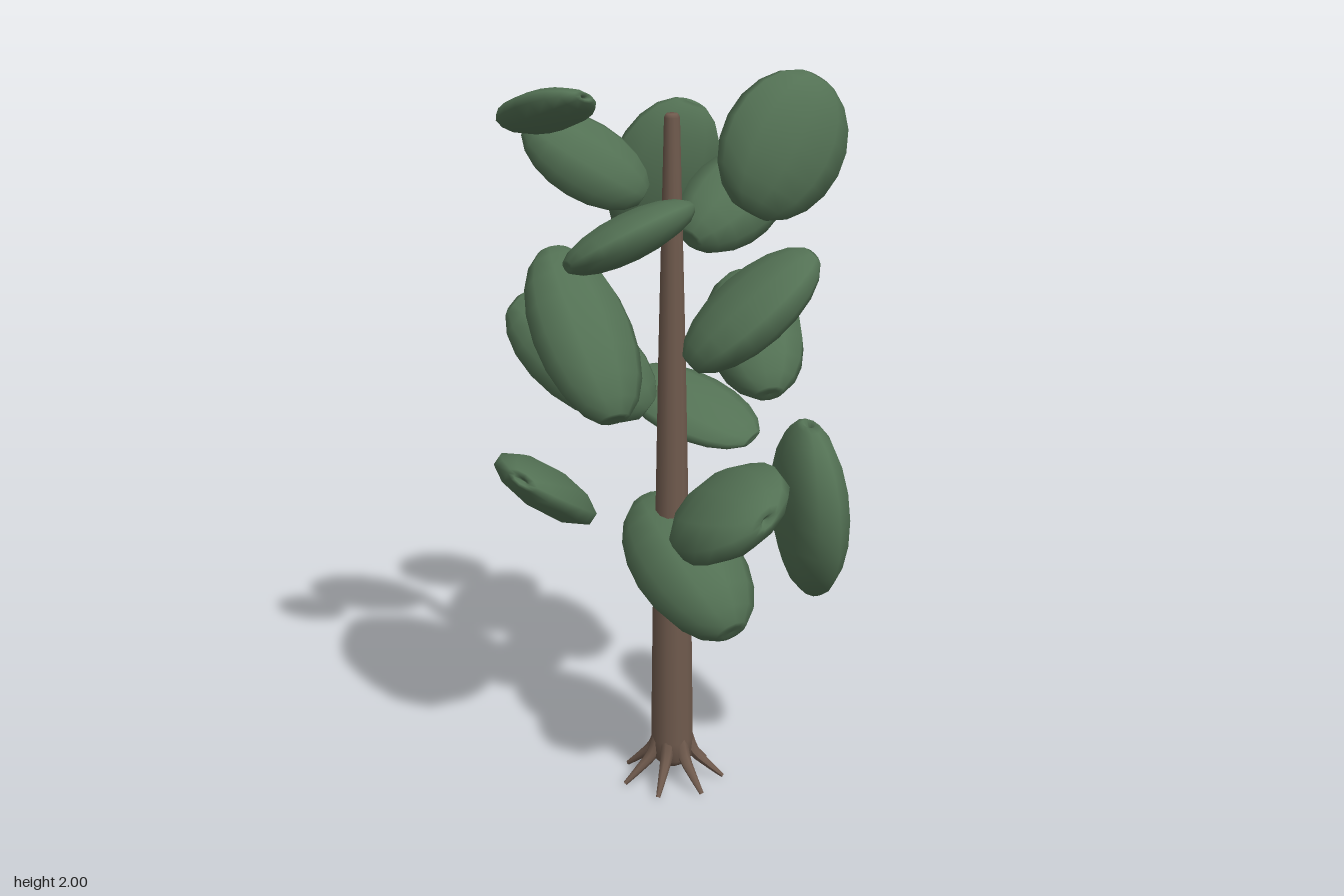
import * as THREE from 'three';

// Foliage clumps: centre, half-extents, and slant (xy, zy, xz correlation of the ellipsoid)
const CLUMPS = [
  [[-0.26, 1.915, 0.235], [0.14, 0.073, 0.108], [0.5, 0.75, 0.45]],
  [[0.295, 1.82, 0.037], [0.147, 0.182, 0.122], [0.05, -0.25, -0.6]],
  [[-0.235, 1.745, -0.02], [0.156, 0.125, 0.112], [-0.55, 0, -0.3]],
  [[-0.11, 1.655, -0.33], [0.152, 0.205, 0.085], [0.3, 0.15, -0.35]],
  [[-0.03, 1.63, 0.305], [0.151, 0.09, 0.155], [0.7, -0.1, -0.2]],
  [[0.125, 1.63, -0.168], [0.134, 0.122, 0.168], [0.15, -0.5, -0.4]],
  [[-0.16, 1.365, 0.272], [0.158, 0.195, 0.166], [-0.6, -0.55, 0.3]],
  [[0.245, 1.425, 0.158], [0.165, 0.146, 0.15], [0.65, -0.45, -0.15]],
  [[-0.245, 1.225, 0.01], [0.195, 0.165, 0.14], [-0.6, -0.1, -0.15]],
  [[0.175, 1.255, -0.208], [0.144, 0.143, 0.17], [-0.3, -0.65, 0.3]],
  [[-0.03, 0.995, -0.33], [0.2, 0.085, 0.137], [-0.65, -0.6, 0.2]],
  [[0.21, 0.905, 0.235], [0.16, 0.12, 0.175], [0.55, -0.15, 0.25]],
  [[0.355, 0.805, -0.11], [0.124, 0.243, 0.18], [-0.05, 0.03, 0.55]],
  [[-0.345, 0.845, 0.03], [0.134, 0.135, 0.23], [-0.35, 0.7, 0.15]],
  [[0.05, 0.66, 0.022], [0.19, 0.168, 0.178], [-0.45, -0.4, 0.3]],
];

// Longest axis of a symmetric matrix, kept perpendicular to an optional vector
function mainAxis(m, perp) {
  const v = new THREE.Vector3(0.53, 0.71, 0.46);
  for (let i = 0; i < 80; i++) {
    if (perp) v.addScaledVector(perp, -v.dot(perp));
    v.applyMatrix3(m).normalize();
  }
  return v;
}

const spread = (m, v) => Math.sqrt(Math.max(v.dot(v.clone().applyMatrix3(m)), 0.0009));

// Low-sided egg with a small dimple at its upper pole
function clumpGeometry() {
  const profile = [new THREE.Vector2(0, -0.97), new THREE.Vector2(0.2, -0.98)];
  for (let i = 1; i <= 9; i++) {
    const a = -Math.PI / 2 + (i / 10) * Math.PI;
    profile.push(new THREE.Vector2(1.02 * Math.cos(a), 1.02 * Math.sin(a)));
  }
  profile.push(new THREE.Vector2(0.17, 1.0), new THREE.Vector2(0.08, 0.93), new THREE.Vector2(0, 0.88));
  return new THREE.LatheGeometry(profile, 10);
}

// Curved root: a tube narrowed toward its tip
function rootGeometry() {
  const curve = new THREE.CatmullRomCurve3([
    new THREE.Vector3(0.03, 0.15, 0), new THREE.Vector3(0.06, 0.085, 0),
    new THREE.Vector3(0.1, 0.045, 0), new THREE.Vector3(0.142, 0.008, 0),
  ]);
  const steps = 8, sides = 8;
  const geo = new THREE.TubeGeometry(curve, steps, 0.024, sides);
  const pos = geo.attributes.position, p = new THREE.Vector3();
  for (let i = 0; i < pos.count; i++) {
    const t = Math.floor(i / (sides + 1)) / steps;
    const c = curve.getPointAt(t);
    p.fromBufferAttribute(pos, i).sub(c).multiplyScalar(1 - 0.75 * t).add(c);
    pos.setXYZ(i, p.x, Math.max(p.y, 0), p.z);
  }
  geo.computeVertexNormals();
  return geo;
}

export function createModel() {
  const tree = new THREE.Group();
  tree.name = 'tree';
  const bark = new THREE.MeshStandardMaterial({ name: 'bark brown', color: 0x6f5a4d });
  const leaf = new THREE.MeshStandardMaterial({ name: 'leaf green', color: 0x537154 });

  // Tapered trunk with a rounded foot
  const profile = [[0, 0.045], [0.035, 0.052], [0.058, 0.075], [0.06, 0.13], [0.055, 0.5], [0.045, 0.85],
    [0.037, 1.25], [0.028, 1.6], [0.021, 1.87], [0.015, 1.88], [0, 1.88]];
  const trunk = new THREE.Mesh(
    new THREE.LatheGeometry(profile.map(([r, y]) => new THREE.Vector2(r, y)), 12), bark);
  trunk.name = 'trunk';
  tree.add(trunk);

  // Roots around the foot
  const rootGeo = rootGeometry();
  for (let i = 0; i < 7; i++) {
    const root = new THREE.Mesh(rootGeo, bark);
    root.name = `root${i + 1}`;
    root.rotation.y = 0.2 + (i / 7) * Math.PI * 2;
    tree.add(root);
  }

  // Flattened foliage clumps
  const clumpGeo = clumpGeometry();
  CLUMPS.forEach(([centre, [hx, hy, hz], [xy, zy, xz]], i) => {
    const a = xy * hx * hy, b = xz * hx * hz, c = zy * hz * hy;
    const m = new THREE.Matrix3().set(hx * hx, a, b, a, hy * hy, c, b, c, hz * hz);
    const long = mainAxis(m);
    if (long.y < 0) long.negate();
    const wide = mainAxis(m, long);
    wide.addScaledVector(long, -wide.dot(long)).normalize();
    const thin = wide.clone().cross(long);
    const clump = new THREE.Mesh(clumpGeo, leaf);
    clump.name = `foliageClump${i + 1}`;
    clump.position.set(...centre);
    clump.quaternion.setFromRotationMatrix(new THREE.Matrix4().makeBasis(wide, long, thin));
    clump.scale.set(spread(m, wide), spread(m, long), spread(m, thin));
    tree.add(clump);
  });
  return tree;
}
